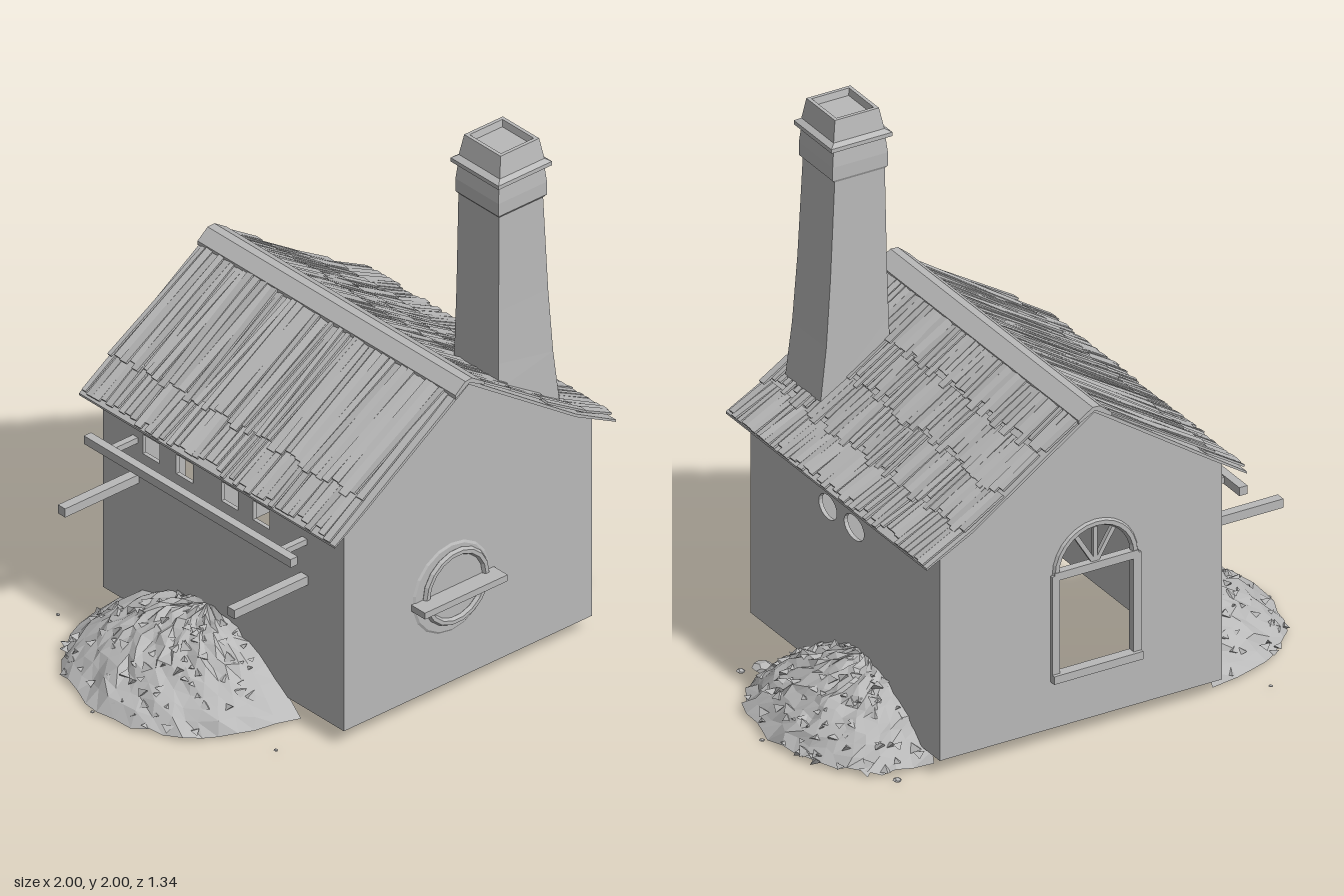
import * as THREE from 'three';
import { mergeGeometries } from 'three/addons/utils/BufferGeometryUtils.js';

const grey = new THREE.MeshStandardMaterial({ color: 0xb9b9b9, flatShading: true, side: THREE.DoubleSide });
grey.name = 'clay grey';

let seed = 7;
const rnd = (a = 0, b = 1) => {
  seed = (seed * 16807) % 2147483647;
  return a + (b - a) * (seed / 2147483647);
};

function add(group, name, geo) {
  const mesh = new THREE.Mesh(geo, grey);
  mesh.name = name;
  group.add(mesh);
  return mesh;
}

const box = (w, h, d, x, y, z) => new THREE.BoxGeometry(w, h, d).translate(x, y, z);

function poly(points) {
  return new THREE.Shape(points.map(([x, y]) => new THREE.Vector2(x, y)));
}

// Roof slopes, from ridge to eave, in x and y
const RIDGE = [0.02, 1.255];
const SLOPES = {
  left: [RIDGE, [-0.44, 0.94], [-0.58, 0.845]],
  right: [RIDGE, [0.5, 0.925], [0.68, 0.828]],
};

// Point on a slope at u = 0 (ridge) to 1 (eave)
function slopePoint(slope, u) {
  const x = slope[0][0] + (slope[2][0] - slope[0][0]) * u;
  const i = Math.abs(x - RIDGE[0]) > Math.abs(slope[1][0] - RIDGE[0]) ? 1 : 0;
  const [a, b] = [slope[i], slope[i + 1]];
  return [x, a[1] + (b[1] - a[1]) * (x - a[0]) / (b[0] - a[0])];
}

// One board lying on a slope, its lower end raised over the next row
function shingle(slope, u0, u1, z, w) {
  const [ax, ay] = slopePoint(slope, u0), [bx, by] = slopePoint(slope, u1);
  const len = Math.hypot(bx - ax, by - ay);
  const down = Math.sign(bx - ax);
  const g = new THREE.BoxGeometry(len, 0.008, w);
  g.rotateX(rnd(-0.14, 0.14));
  g.rotateY(rnd(-0.035, 0.035));
  g.rotateZ(Math.atan2(by - ay, bx - ax) + (down < 0 ? Math.PI : 0) * 1 + down * rnd(0.01, 0.05));
  return g.translate((ax + bx) / 2, (ay + by) / 2 + 0.011, z);
}

// Lofted rectangle sections: [y at x0, y at x1, x0, x1, z0, z1]
function loft(rows) {
  const pos = [], idx = [];
  rows.forEach(([ya, yb, x0, x1, z0, z1], r) => {
    pos.push(x0, ya, z1, x1, yb, z1, x1, yb, z0, x0, ya, z0);
    if (r === 0) return;
    for (let k = 0; k < 4; k++) {
      const a = (r - 1) * 4 + k, b = (r - 1) * 4 + (k + 1) % 4;
      idx.push(a, b, b + 4, a, b + 4, a + 4);
    }
  });
  const t = (rows.length - 1) * 4;
  idx.push(t, t + 1, t + 2, t, t + 2, t + 3);
  const g = new THREE.BufferGeometry();
  g.setAttribute('position', new THREE.Float32BufferAttribute(pos, 3));
  g.setIndex(idx);
  const flat = g.toNonIndexed();
  flat.computeVertexNormals();
  return flat;
}

// Half dome of rubble against a side wall
function rubble(side, wallX, reach, zc, half) {
  const g = new THREE.PlaneGeometry(1, 1, 22, 12);
  const p = g.attributes.position;
  const place = (ang, r) => [
    wallX + side * reach * r * Math.pow(Math.max(Math.cos(ang), 0), 0.8),
    0.012 + 0.228 * Math.pow(Math.max(Math.cos(r * Math.PI / 2), 0), 0.9),
    zc + half * r * Math.sin(ang),
  ];
  for (let i = 0; i < p.count; i++) {
    const ang = p.getX(i) * Math.PI, r = p.getY(i) + 0.5;
    const [x, y, z] = place(ang, r);
    const j = r > 0.05 ? 0.014 : 0;
    p.setXYZ(i, x + rnd(-j, j) * Math.cos(ang), Math.max(0.004, y + rnd(-j, j) * 0.8), z + rnd(-j, j));
  }
  const parts = [g.toNonIndexed()];
  // Loose shards
  for (let i = 0; i < 90; i++) {
    const [x, y, z] = place(rnd(-1.5, 1.5), Math.sqrt(rnd(0.03, 1.0)));
    const s = new THREE.TetrahedronGeometry(rnd(0.015, 0.032));
    s.scale(1, 0.6, 1).rotateY(rnd(0, 6)).rotateX(rnd(-0.5, 0.5));
    parts.push(s.translate(x, Math.max(y, 0.018), z));
  }
  const merged = mergeGeometries(parts);
  merged.computeVertexNormals();
  return merged;
}

export function createModel() {
  const model = new THREE.Group();
  model.name = 'cottage';
  const wall = (shape) => new THREE.ExtrudeGeometry(shape, { depth: 0.015, bevelEnabled: false, curveSegments: 10 });

  // Gable walls; the back one has an arched opening
  const gable = () => poly([[-0.5, 0.06], [0.61, 0.06], [0.61, 0.86], [0.5, 0.915], [0.02, 1.245], [-0.44, 0.93], [-0.5, 0.89]]);
  add(model, 'frontWall', wall(gable()).translate(0, 0, 0.585));
  const back = gable();
  const door = new THREE.Path();
  door.moveTo(-0.15, 0.26).lineTo(0.15, 0.26).lineTo(0.15, 0.64).absarc(0, 0.64, 0.15, 0, Math.PI, false);
  door.lineTo(-0.15, 0.26);
  back.holes.push(door);
  add(model, 'backWall', wall(back).translate(0, 0, -0.625));

  // Side walls with small openings, drawn in z and y
  const sideWall = (name, x, top, holes) => {
    const s = poly([[-0.62, 0.06], [0.6, 0.06], [0.6, top], [-0.62, top]]);
    for (const [z, y, rx, ry, square] of holes) {
      s.holes.push(square
        ? new THREE.Path([[-1, -1], [1, -1], [1, 1], [-1, 1]].map(([a, b]) => new THREE.Vector2(z + a * rx, y + b * ry)))
        : new THREE.Path().absellipse(z, y, rx, ry, 0, Math.PI * 2, false, 0));
    }
    add(model, name, wall(s).rotateY(-Math.PI / 2).translate(x, 0, 0));
  };
  const ovals = [[0.1, 0.695, 0.058, 0.045], [-0.07, 0.695, 0.065, 0.045]];
  sideWall('rightWall', 0.61, 0.86, ovals);
  sideWall('leftWall', -0.485, 0.89, [-0.38, -0.21, 0.02, 0.18].map((z) => [z, 0.72, 0.042, 0.038, true]));

  // Back opening frame, crossbar and fan spokes
  const frame = [
    box(0.03, 0.39, 0.03, -0.16, 0.45, -0.622),
    box(0.03, 0.39, 0.03, 0.16, 0.45, -0.622),
    box(0.35, 0.03, 0.04, 0, 0.255, -0.63),
    box(0.33, 0.03, 0.03, 0, 0.64, -0.622),
    new THREE.TorusGeometry(0.155, 0.015, 6, 14, Math.PI).translate(0, 0.645, -0.622),
  ];
  for (const a of [-0.55, 0, 0.55]) {
    frame.push(new THREE.BoxGeometry(0.016, 0.14, 0.016).translate(0, 0.07, 0).rotateZ(a).translate(0, 0.645, -0.62));
  }
  add(model, 'backOpeningFrame', mergeGeometries(frame));

  // Round front window with its cross beam
  const windowGroup = new THREE.Group();
  windowGroup.name = 'roundWindow';
  model.add(windowGroup);
  add(windowGroup, 'backPlate', new THREE.CylinderGeometry(0.165, 0.175, 0.006, 18).rotateX(Math.PI / 2).translate(-0.02, 0.435, 0.602));
  add(windowGroup, 'ring', new THREE.TorusGeometry(0.133, 0.014, 6, 18).translate(-0.005, 0.435, 0.607));
  add(windowGroup, 'beam', box(0.37, 0.025, 0.07, -0.015, 0.425, 0.637));

  // Roof deck
  const deck = (a, b, c) => {
    const s = poly([a, b, c, [c[0], c[1] - 0.008], [b[0], b[1] - 0.012], [a[0], a[1] - 0.015]]);
    return new THREE.ExtrudeGeometry(s, { depth: 1.3, bevelEnabled: false }).translate(0, 0, -0.655);
  };
  add(model, 'leftRoofDeck', deck(...SLOPES.left));
  add(model, 'rightRoofDeck', deck(...SLOPES.right));

  // Long boards on the left slope
  const left = [];
  for (let z = -0.635; z < 0.63; z += 0.031) {
    const w = rnd(0.018, 0.036);
    left.push(shingle(SLOPES.left, 0.08, rnd(0.74, 0.79), z, w));
    left.push(shingle(SLOPES.left, 0.74, rnd(0.97, 1.01), z + rnd(-0.004, 0.004), w));
  }
  add(model, 'leftRoofBoards', mergeGeometries(left));

  // Four staggered rows of shingles on the right slope
  const right = [];
  for (let row = 0; row < 4; row++) {
    const u = 0.08 + row * 0.23;
    for (let z = -0.635 + (row % 2) * 0.012; z < 0.635; z += 0.03) {
      const z1 = Math.min(z, 0.63);
      right.push(shingle(SLOPES.right, u, Math.min(u + rnd(0.2, 0.27), 1.01), z1, rnd(0.02, 0.036)));
    }
  }
  add(model, 'rightRoofShingles', mergeGeometries(right));

  // Ridge cap
  const cap = poly([[-0.045, 1.225], [0, 1.262], [0.03, 1.264], [0.085, 1.228], [0.085, 1.215], [0.02, 1.25], [-0.045, 1.21]]);
  add(model, 'ridgeCap', new THREE.ExtrudeGeometry(cap, { depth: 1.31, bevelEnabled: false }).translate(0, 0, -0.66));

  // Chimney: shaft, collar, rim and tapered top with a sunken mouth
  add(model, 'chimney', loft([
    [1.1, 0.925, 0.22, 0.495, 0.34, 0.57],
    [1.2, 1.15, 0.223, 0.468, 0.343, 0.565],
    [1.4, 1.4, 0.228, 0.45, 0.346, 0.56],
    [1.77, 1.77, 0.235, 0.432, 0.348, 0.555],
    [1.78, 1.78, 0.226, 0.443, 0.343, 0.562],
    [1.83, 1.83, 0.226, 0.443, 0.343, 0.562],
    [1.885, 1.885, 0.232, 0.437, 0.348, 0.557],
    [1.895, 1.895, 0.216, 0.456, 0.33, 0.573],
    [1.91, 1.91, 0.216, 0.456, 0.33, 0.573],
    [1.922, 1.922, 0.237, 0.437, 0.347, 0.556],
    [2, 2, 0.252, 0.425, 0.358, 0.543],
    [2, 2, 0.265, 0.412, 0.371, 0.53],
    [1.975, 1.975, 0.27, 0.407, 0.376, 0.525],
  ]));

  // Rail and beams on the left wall
  add(model, 'leftRail', box(0.032, 0.032, 1.05, -0.617, 0.722, -0.045));
  for (const z of [-0.46, 0.4]) {
    add(model, 'railBracket', box(0.14, 0.022, 0.025, -0.56, 0.722, z));
    add(model, 'leftBeam', box(0.34, 0.034, 0.036, -0.66, 0.572, z));
  }

  // Rubble heaps
  add(model, 'leftRubble', rubble(-1, -0.495, 0.48, -0.1, 0.47));
  add(model, 'rightRubble', rubble(1, 0.585, 0.385, -0.12, 0.44));
  const stones = [[0.73, 0.32, 0.04], [0.8, 0.35, 0.016], [0.75, -0.58, 0.016], [-0.67, -0.66, 0.008], [-0.69, 0.47, 0.008], [-0.992, -0.12, 0.008], [0.99, -0.1, 0.01]];
  add(model, 'looseStones', mergeGeometries(stones.map(([x, z, r]) =>
    new THREE.DodecahedronGeometry(r).scale(1, 0.4, 1).translate(x, r * 0.4, z))));

  return model;
}
